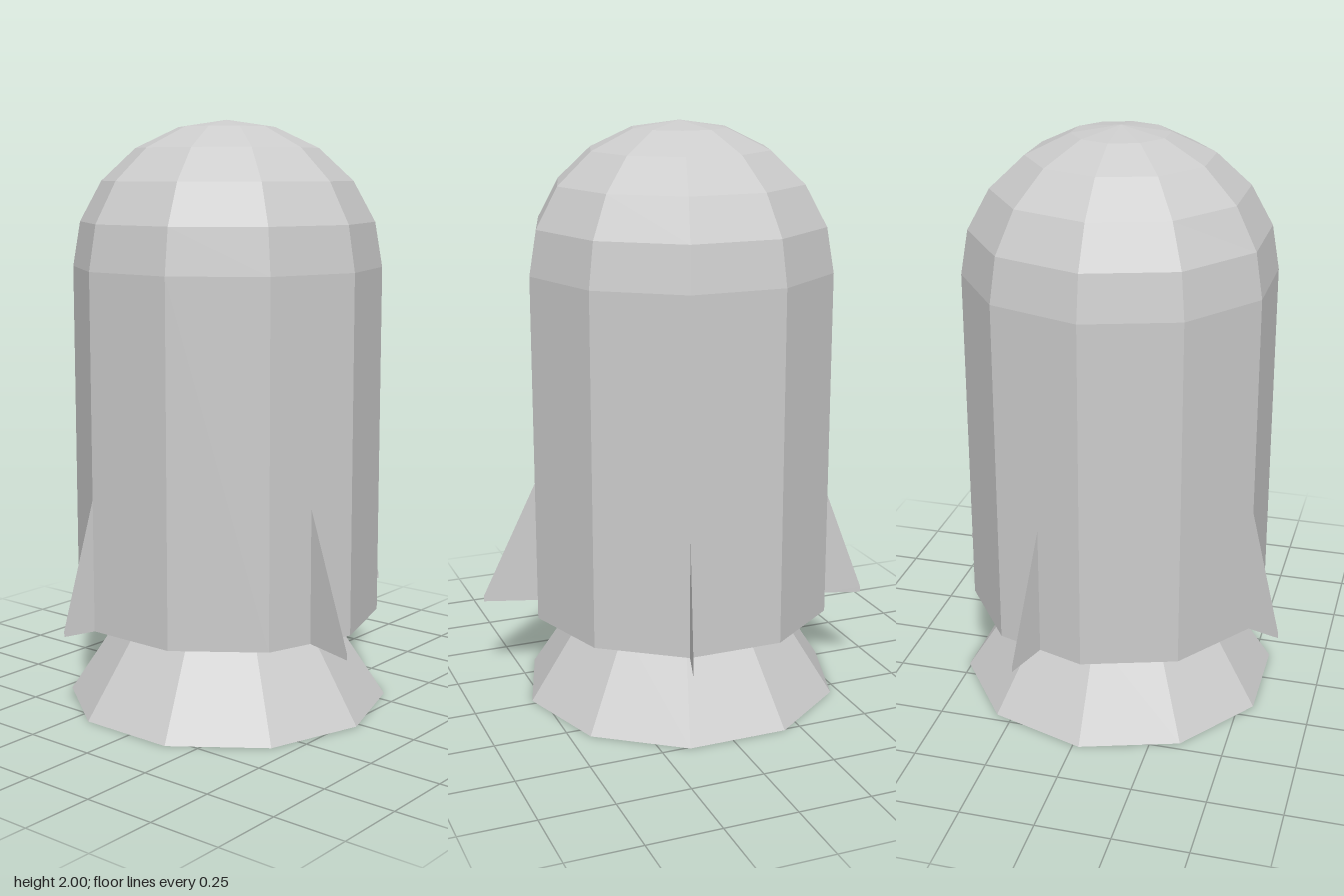
import * as THREE from 'three';

const SIDES = 10;
const CENTRE = [-0.022, -0.018]; // x, z of the hull axis
const HULL_R = 0.527, HULL_BASE = 0.31, SHOULDER = 1.51;

const material = new THREE.MeshStandardMaterial({ color: 0xcccccc, flatShading: true });
const thin = new THREE.MeshStandardMaterial({ color: 0xcccccc, flatShading: true, side: THREE.DoubleSide });

// Faceted solid of revolution from [radius, height] pairs, bottom to top
function turned(name, profile) {
  const points = profile.map(([r, y]) => new THREE.Vector2(r, y));
  const mesh = new THREE.Mesh(new THREE.LatheGeometry(points, SIDES), material);
  mesh.name = name;
  mesh.position.set(CENTRE[0], 0, CENTRE[1]);
  return mesh;
}

// Thin swept fin standing radially on the hull
function fin(name, angle, inner, reach) {
  const shape = new THREE.Shape([
    new THREE.Vector2(inner, HULL_BASE),
    new THREE.Vector2(inner + reach, HULL_BASE),
    new THREE.Vector2(inner + reach, HULL_BASE + 0.02),
    new THREE.Vector2(inner, 0.76),
  ]);
  const mesh = new THREE.Mesh(new THREE.ShapeGeometry(shape), thin);
  mesh.name = name;
  mesh.position.set(CENTRE[0], 0, CENTRE[1]);
  mesh.rotation.y = angle;
  return mesh;
}

export function createModel() {
  const rocket = new THREE.Group();
  rocket.name = 'rocket';

  // Flared exhaust nozzle with a closed foot
  rocket.add(turned('nozzle', [[0, 0], [0.557, 0], [0.353, HULL_BASE]]));

  // Straight hull rounded off by a five-step dome
  const hull = [[0, HULL_BASE], [HULL_R, HULL_BASE], [HULL_R, SHOULDER]];
  for (let i = 1; i <= 5; i++) {
    const a = (i / 5) * Math.PI / 2;
    hull.push([i === 5 ? 0 : HULL_R * Math.cos(a), SHOULDER + 0.49 * Math.sin(a)]);
  }
  rocket.add(turned('hull', hull));

  // Four fins a quarter turn apart: side fins on hull edges, front and back on flats
  const flat = HULL_R * Math.cos(Math.PI / SIDES);
  const turn = -Math.PI / 10;
  rocket.add(
    fin('leftFin', turn, HULL_R, 0.154),
    fin('backFin', turn + Math.PI / 2, flat, 0.158),
    fin('rightFin', turn + Math.PI, HULL_R, 0.113),
    fin('frontFin', turn - Math.PI / 2, flat, 0.197),
  );
  return rocket;
}
